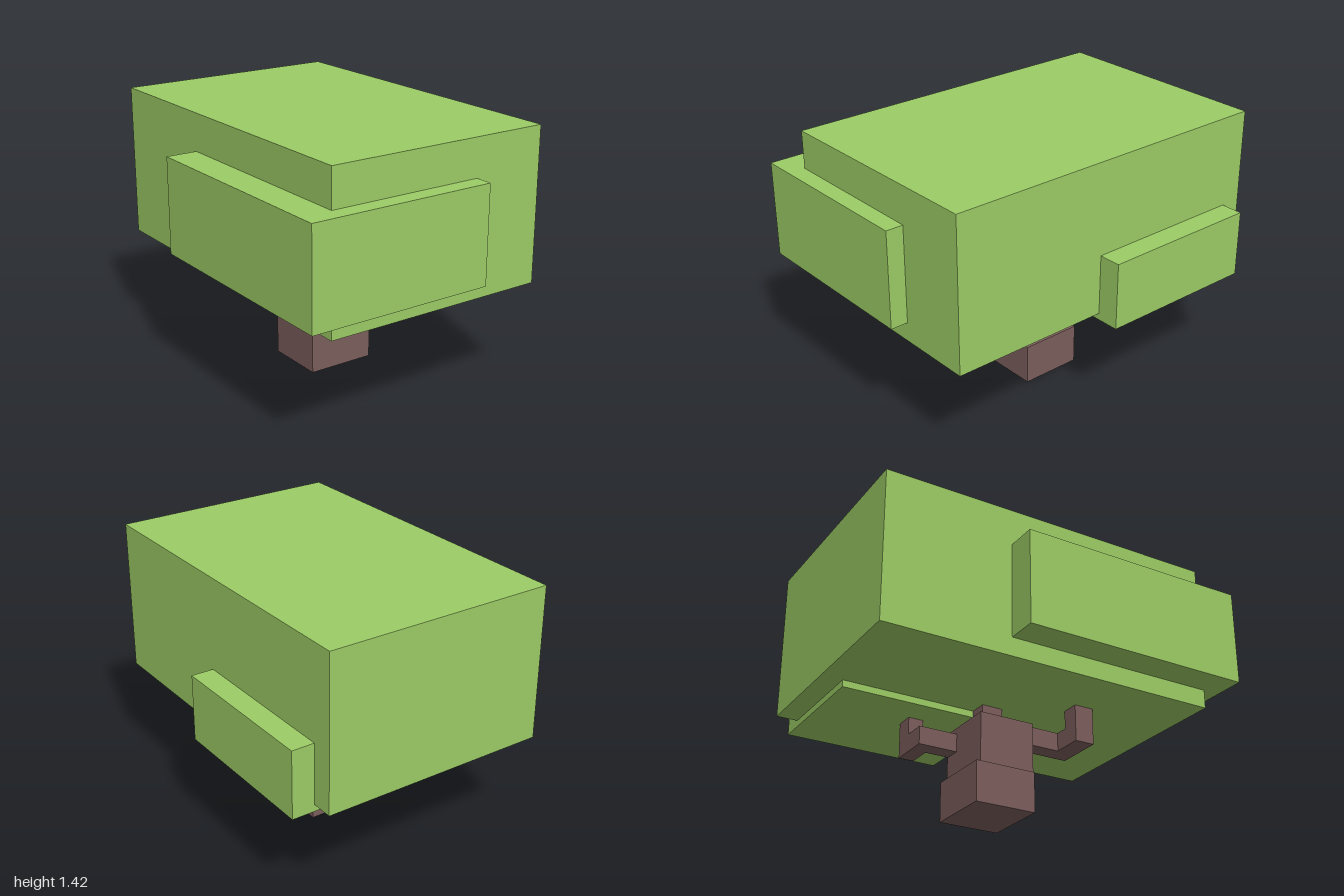
import * as THREE from 'three';

export function createModel() {
  const model = new THREE.Group();
  const leaf = new THREE.MeshStandardMaterial({ color: 0x9ccc65 });
  const bark = new THREE.MeshStandardMaterial({ color: 0x7b5e5c });

  // Box given by its [min, max] extent on each axis
  function block(parent, name, material, [x0, x1], [y0, y1], [z0, z1]) {
    const mesh = new THREE.Mesh(new THREE.BoxGeometry(x1 - x0, y1 - y0, z1 - z0), material);
    mesh.position.set((x0 + x1) / 2, (y0 + y1) / 2, (z0 + z1) / 2);
    mesh.name = name;
    parent.add(mesh);
  }
  function group(name) {
    const g = new THREE.Group();
    g.name = name;
    model.add(g);
    return g;
  }

  // Foliage: one large block with two smaller overlapping ones
  const foliage = group('foliage');
  block(foliage, 'mainCrown', leaf, [-1, 0.905], [0.592, 1.425], [-0.657, 0.605]);
  block(foliage, 'frontCrown', leaf, [-0.29, 1], [0.695, 1.22], [-0.25, 0.777]);
  block(foliage, 'backCrown', leaf, [-0.883, 0.017], [0.555, 0.92], [-0.78, -0.06]);

  // Trunk: wide base, narrower upper part
  const trunk = group('trunk');
  block(trunk, 'trunkBase', bark, [-0.23, 0.113], [0, 0.22], [-0.22, 0.16]);
  block(trunk, 'upperTrunk', bark, [-0.203, 0.11], [0.22, 0.493], [-0.2, 0.153]);
  block(trunk, 'centreStem', bark, [-0.128, -0.01], [0.493, 0.592], [-0.06, 0.04]);

  // Left branch: out sideways, bent forward, then up
  const left = group('leftBranch');
  block(left, 'leftArm', bark, [0.11, 0.4], [0.39, 0.492], [0.015, 0.115]);
  block(left, 'leftElbow', bark, [0.29, 0.4], [0.39, 0.492], [0.115, 0.287]);
  block(left, 'leftStem', bark, [0.29, 0.4], [0.492, 0.592], [0.187, 0.287]);

  // Right branch: out sideways, bent backward, then up
  const right = group('rightBranch');
  block(right, 'rightArm', bark, [-0.423, -0.203], [0.358, 0.458], [-0.195, -0.1]);
  block(right, 'rightElbow', bark, [-0.423, -0.337], [0.358, 0.458], [-0.335, -0.195]);
  block(right, 'rightStem', bark, [-0.423, -0.337], [0.458, 0.555], [-0.335, -0.23]);

  return model;
}
